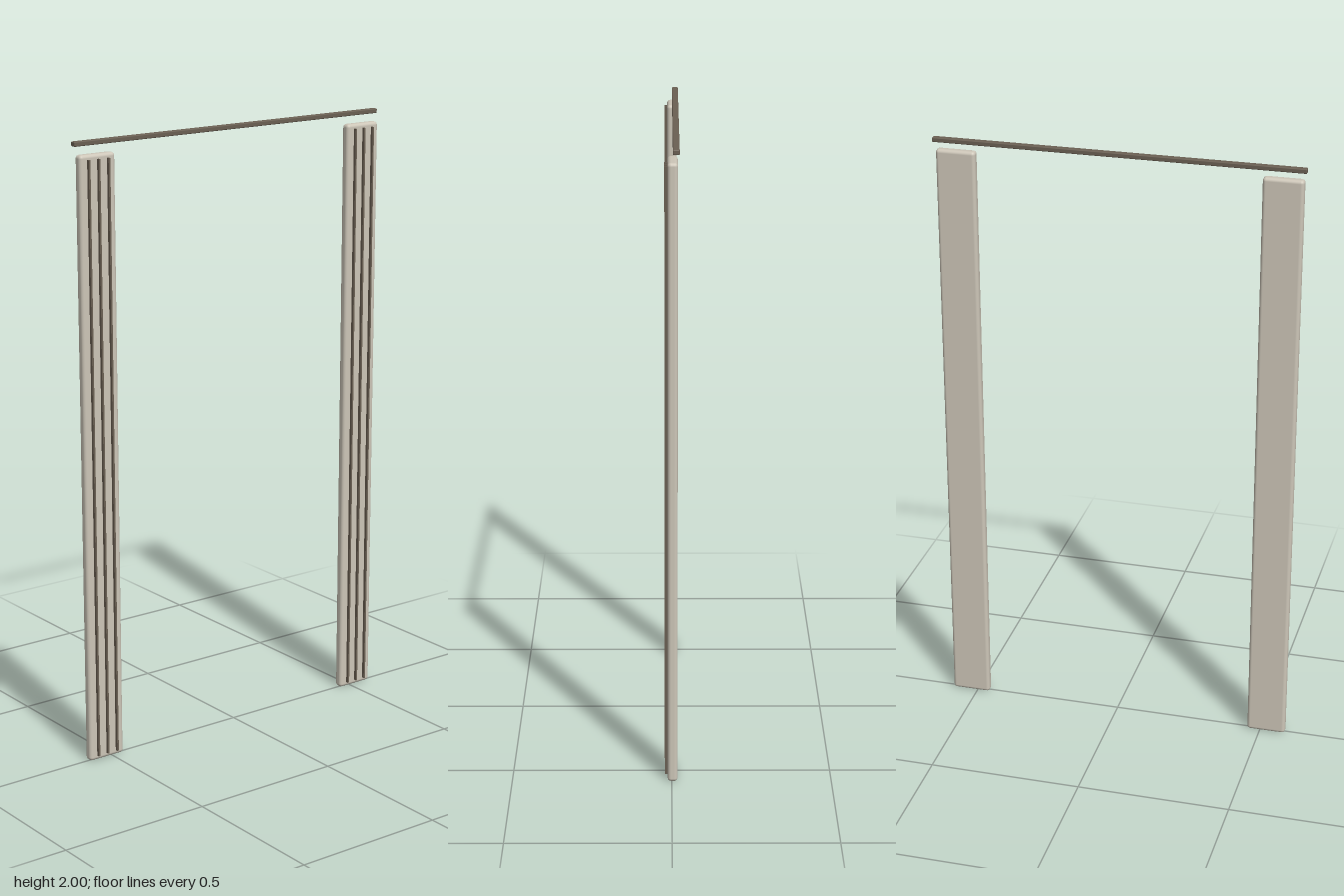
import * as THREE from 'three';
import { RoundedBoxGeometry } from 'three/addons/geometries/RoundedBoxGeometry.js';

export function createModel() {
  const model = new THREE.Group();
  model.name = 'curtainPanels';
  const pale = new THREE.MeshStandardMaterial({ color: 0xcdc6b8 });
  const dark = new THREE.MeshStandardMaterial({ color: 0x6b6053 });

  const add = (parent, name, geometry, material, x, y, z) => {
    const mesh = new THREE.Mesh(geometry, material);
    mesh.name = name;
    mesh.position.set(x, y, z);
    parent.add(mesh);
  };

  // Slim rail across the top
  add(model, 'topRail', new RoundedBoxGeometry(1.187, 0.015, 0.02, 2, 0.003), dark, 0, 1.9925, -0.013);

  // Two hanging panels, each with three raised pleats on the front
  const panelGeometry = new RoundedBoxGeometry(0.129, 1.96, 0.031, 4, 0.011);
  const pleatGeometry = new THREE.BoxGeometry(0.006, 1.93, 0.012);
  for (const side of [-1, 1]) {
    const panel = new THREE.Group();
    panel.name = side > 0 ? 'leftPanel' : 'rightPanel';
    panel.position.x = side * 0.521;
    add(panel, 'panelBody', panelGeometry, pale, 0, 0.98, -0.0025);
    for (const x of [-0.036, 0, 0.036]) {
      add(panel, 'pleat', pleatGeometry, dark, x, 0.98, 0.016);
    }
    model.add(panel);
  }
  return model;
}
